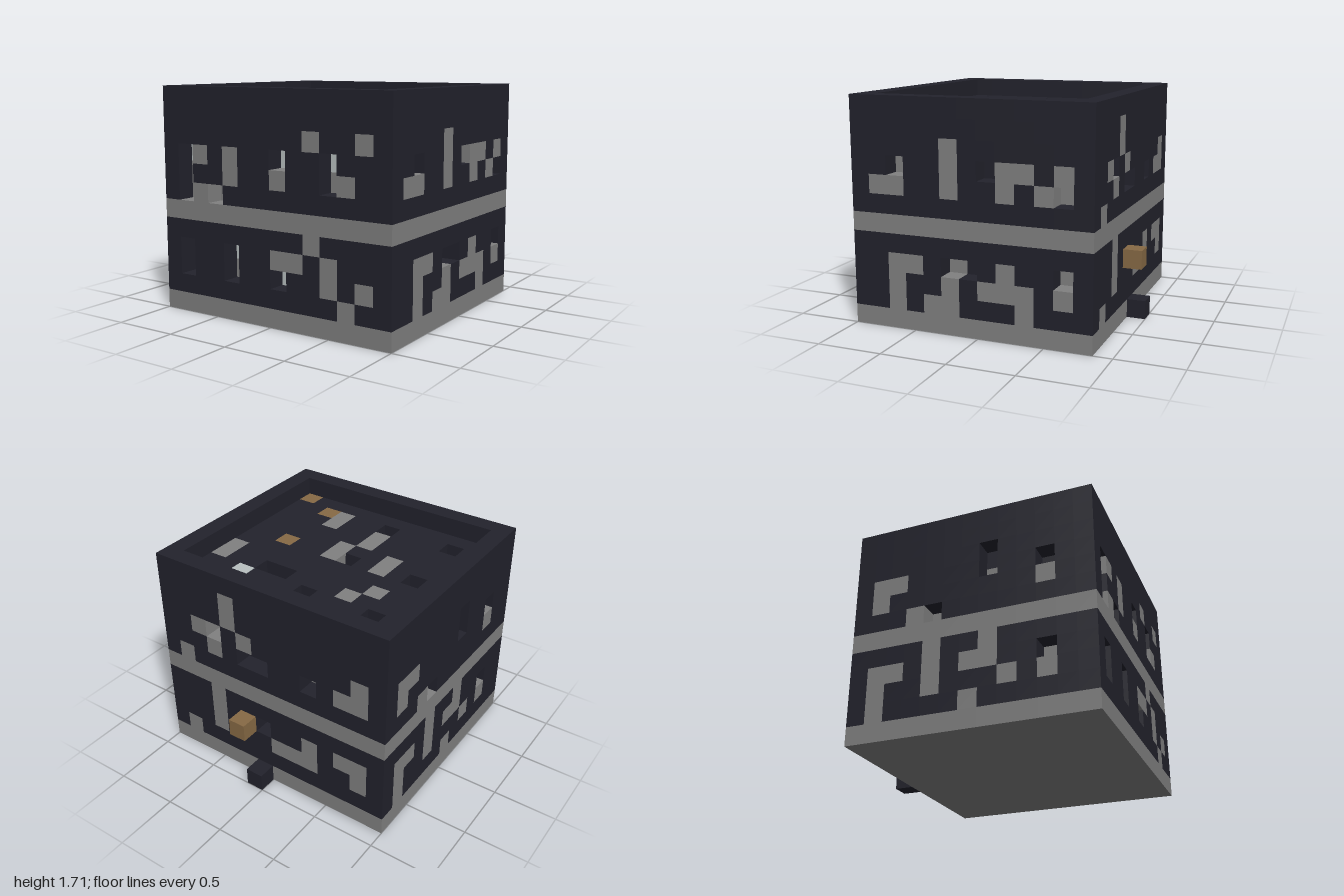
import * as THREE from 'three';
import { mergeGeometries } from 'three/addons/utils/BufferGeometryUtils.js';

// Block grid: 14 wide (x), 12 high (y), 13 deep (z, from back to front)
const NX = 14, NY = 12, NZ = 13, S = 1 / 7;

// Wall patterns. g/l/b = grey, light, brown block flush with the wall.
// H/L/B/D = opening one block deep with grey, light, brown, dark back; T = two deep, grey back.
const FRONT = {
  9: '.........g..g.',
  8: '.Lg.g..L..L...',
  7: '.H..g..g..Hg..',
  6: '.HgH..........',
  4: '.........g....',
  3: '.T..L..gg.g...',
  2: '.T..H..L..g.g.',
  1: '...........g..',
};
const BACK = {
  10: '.........g....',
  9: '.........g....',
  8: '.g......g.Hg..',
  7: '.gg.H..DD.g...',
  6: '............g.',
  4: '..........g...',
  3: '.gg.g..D..g...',
  2: '.g..ggg...g...',
  1: '............g.',
};
// side walls run from back to front
const RIGHT = {
  9: '.......g.....',
  8: '.g.ggD.g..H..',
  7: '.Hg.g..g..gg.',
  3: '.H..g.DH.gg..',
  2: '.g.ggg.g..g..',
  1: '...g...gg.g..',
};
const LEFT = {
  9: '.......D.....',
  8: '.gg....H..D..',
  7: '.g........g..',
  6: '...gH........',
  4: '....g..g.....',
  3: '.gg.g.gg..H..',
  2: '.g..g...g.g..',
  1: '.g....g......',
};
// roof rows run from back to front
const ROOF = {
  2: '..H...H...l...',
  3: '....g...HH..g.',
  4: '...g........g.',
  6: '..H.g.Bg..b...',
  7: '....g..g......',
  8: '......g.......',
  9: '......g..g....',
  10: '..H...H..gb...',
  11: '............b.',
};
const FLUSH = { g: 'grey', l: 'light', b: 'brown' };
const RECESS = { H: 'grey', L: 'light', B: 'brown', D: 'dark', T: 'grey' };

function buildBlocks() {
  const blocks = new Map();
  const key = (i, j, k) => `${i},${j},${k}`;

  // solid body with grey base and storey band, and a raised roof rim
  for (let i = 0; i < NX; i++) for (let j = 0; j < NY; j++) for (let k = 0; k < NZ; k++) {
    const edge = i === 0 || i === NX - 1 || k === 0 || k === NZ - 1;
    if (j === NY - 1 && !edge) continue;
    blocks.set(key(i, j, k), j === 0 || (j === 5 && edge) ? 'grey' : 'dark');
  }

  // stamp a pattern; at(column, row, depth) gives the block position
  const stamp = (pattern, at) => {
    for (const row in pattern) [...pattern[row]].forEach((c, col) => {
      const cell = (d) => key(...at(col, Number(row), d));
      if (FLUSH[c]) blocks.set(cell(0), FLUSH[c]);
      if (RECESS[c]) {
        const depth = c === 'T' ? 2 : 1;
        for (let d = 0; d < depth; d++) blocks.delete(cell(d));
        blocks.set(cell(depth), RECESS[c]);
      }
    });
  };
  stamp(FRONT, (c, r, d) => [c, r, NZ - 1 - d]);
  stamp(BACK, (c, r, d) => [c, r, d]);
  stamp(RIGHT, (c, r, d) => [NX - 1 - d, r, c]);
  stamp(LEFT, (c, r, d) => [d, r, c]);
  stamp(ROOF, (c, r, d) => [c, NY - 2 - d, r]);

  // two blocks standing out of the back wall
  blocks.set(key(8, 3, -1), 'brown');
  blocks.set(key(7, 0, -1), 'dark');
  return blocks;
}

// Six outward block faces: direction and a ready-turned square
const FACES = [
  [1, 0, 0], [-1, 0, 0], [0, 1, 0], [0, -1, 0], [0, 0, 1], [0, 0, -1],
].map((dir) => {
  const n = new THREE.Vector3(...dir);
  const square = new THREE.PlaneGeometry(S, S);
  square.applyQuaternion(new THREE.Quaternion().setFromUnitVectors(
    new THREE.Vector3(0, 0, 1), n));
  if (dir[2] === -1) {
    square.dispose();
    const back = new THREE.PlaneGeometry(S, S).rotateY(Math.PI);
    return { dir, square: back.translate(0, 0, -S / 2) };
  }
  return { dir, square: square.translate(n.x * S / 2, n.y * S / 2, n.z * S / 2) };
});

export function createModel() {
  const group = new THREE.Group();
  group.name = 'blockBuilding';

  const parts = {
    dark: { name: 'darkWallsAndRoof', color: 0x22222c, material: 'darkStone' },
    grey: { name: 'greyBandsAndInlays', color: 0x808080, material: 'greyStone' },
    light: { name: 'lightInlays', color: 0xb8c0c0, material: 'paleStone' },
    brown: { name: 'brownInlays', color: 0x876a45, material: 'brownWood' },
  };

  // keep only the faces open to the air
  const blocks = buildBlocks();
  const squares = { dark: [], grey: [], light: [], brown: [] };
  for (const [id, colour] of blocks) {
    const [i, j, k] = id.split(',').map(Number);
    for (const { dir, square } of FACES) {
      if (blocks.has(`${i + dir[0]},${j + dir[1]},${k + dir[2]}`)) continue;
      squares[colour].push(square.clone().translate(
        -1 + (i + 0.5) * S, (j + 0.5) * S, -1 + (k + 1.5) * S));
    }
  }

  for (const colour in parts) {
    const { name, color, material } = parts[colour];
    const mat = new THREE.MeshStandardMaterial({ color });
    mat.name = material;
    const mesh = new THREE.Mesh(mergeGeometries(squares[colour]), mat);
    mesh.name = name;
    group.add(mesh);
  }
  return group;
}
